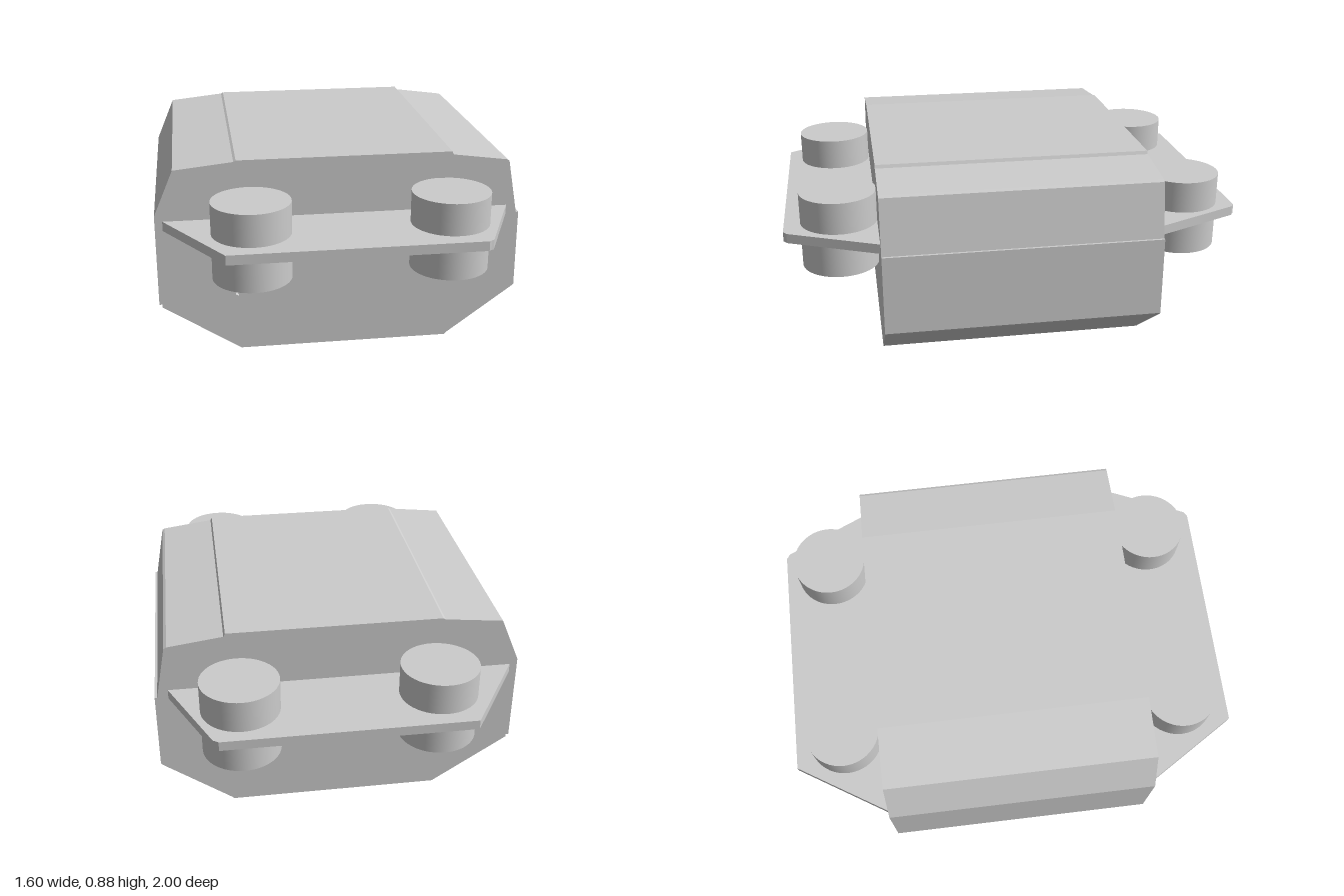
import * as THREE from 'three';

const grey = new THREE.MeshStandardMaterial({ color: 0xcccccc });

const points = (list) => list.map(([a, b]) => new THREE.Vector2(a, b));

function addMesh(parent, name, geometry) {
  const mesh = new THREE.Mesh(geometry, grey);
  mesh.name = name;
  parent.add(mesh);
  return mesh;
}

export function createModel() {
  const model = new THREE.Group();
  model.name = 'hull';

  // Faceted body with small steps at the panel joints and a thin slot running through it
  const section = new THREE.Shape(points([
    [-0.45, 0], [0.48, 0], [0.49, 0.01], [0.785, 0.225], [0.795, 0.235],
    [0.793, 0.585], [0.782, 0.585], [0.737, 0.825], [0.725, 0.832],
    [0.487, 0.864], [0.48, 0.878], [-0.45, 0.878], [-0.46, 0.872],
    [-0.715, 0.845], [-0.8, 0.645], [-0.8, 0.235], [-0.788, 0.235], [-0.788, 0.222],
  ]));
  section.holes.push(new THREE.Path(points([
    [-0.466, 0.262], [-0.466, 0.6], [-0.454, 0.6], [-0.454, 0.256],
  ])));
  const body = new THREE.ExtrudeGeometry(section, { depth: 1.2, bevelEnabled: false });
  body.translate(0, 0, -0.6);
  addMesh(model, 'body', body);

  for (const [end, side] of [['front', 1], ['back', -1]]) {
    // Tapered shelf at each end
    const outline = new THREE.Shape(points([
      [-0.77, 0.595], [0.737, 0.595], [0.562, 0.985], [0.55, 0.992],
      [0.54, 1], [-0.52, 1],
    ].map(([x, z]) => [x, -z * side])));
    const shelf = new THREE.ExtrudeGeometry(outline, { depth: 0.042, bevelEnabled: false });
    shelf.rotateX(-Math.PI / 2);
    addMesh(model, end + 'Shelf', shelf).position.y = 0.579;

    // Pair of drums passing through the shelf
    for (const [name, x, z] of [['RightDrum', -0.402, 0.77 * side], ['LeftDrum', 0.438, 0.77 * side - 0.006]]) {
      const drum = new THREE.CylinderGeometry(0.167, 0.167, 0.336, 48);
      addMesh(model, end + name, drum).position.set(x, 0.592, z);
    }
  }
  return model;
}
